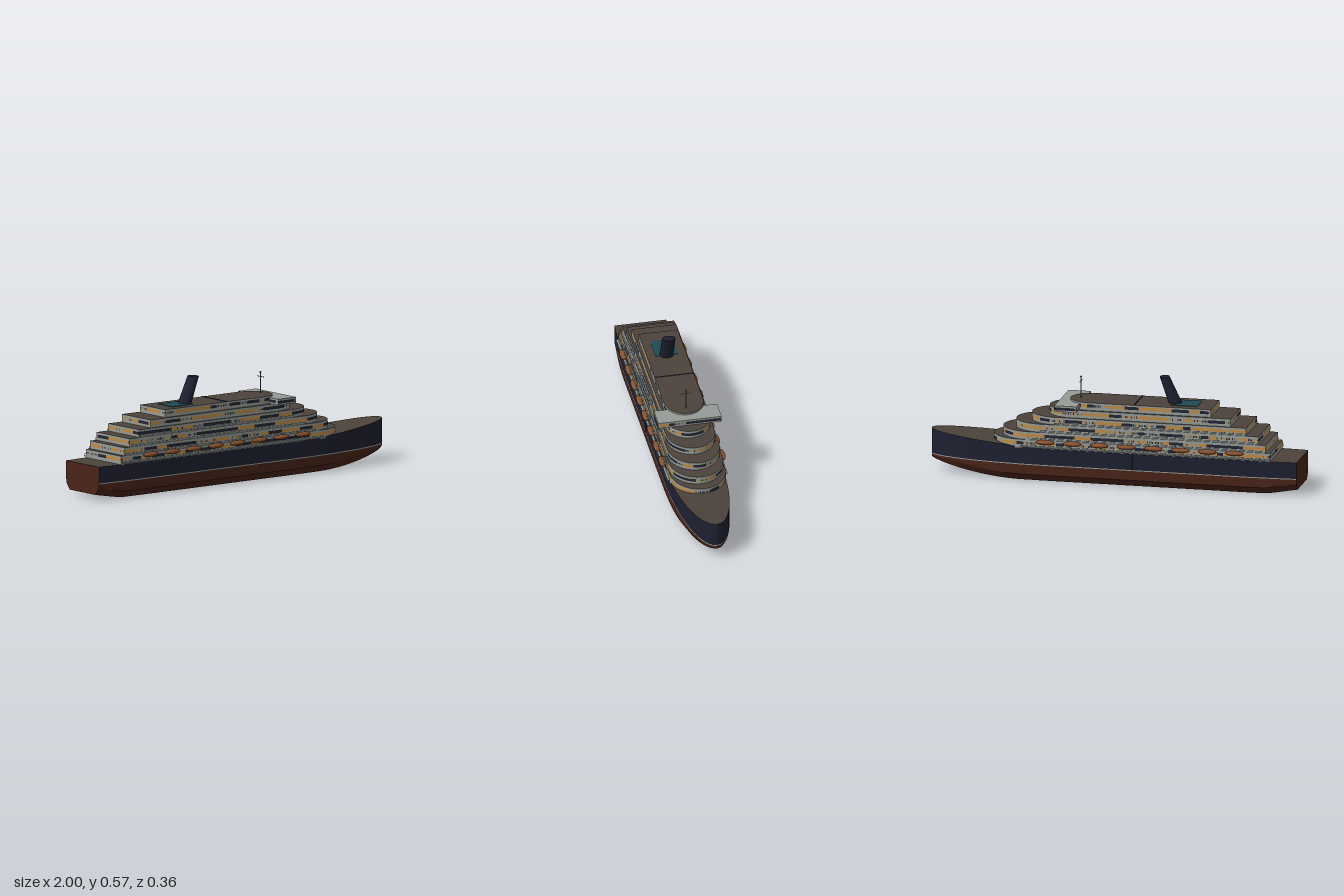
import * as THREE from 'three';
import { mergeGeometries } from 'three/addons/utils/BufferGeometryUtils.js';

const mat = (name, color, side = THREE.FrontSide) => {
  const m = new THREE.MeshStandardMaterial({ color, side });
  m.name = name;
  return m;
};

export function createModel() {
  const M = {
    navy: mat('navy hull', 0x1e2030),
    red: mat('bottom paint', 0x4a2419),
    white: mat('pale superstructure', 0x969c97),
    deck: mat('deck planking', 0x4c423b),
    amber: mat('lit window', 0xc08a42, THREE.DoubleSide),
    dark: mat('dark window', 0x222632, THREE.DoubleSide),
    boat: mat('lifeboat orange', 0x8a5230),
    teal: mat('pool teal', 0x1f4a52),
    metal: mat('mast metal', 0x6a6c6c),
  };
  const ship = new THREE.Group();
  ship.name = 'ship';
  const add = (name, geo, material, parent = ship) => {
    const mesh = new THREE.Mesh(geo, material);
    mesh.name = name;
    parent.add(mesh);
    return mesh;
  };
  const box = (name, m, sx, sy, sz, x, y, z) =>
    add(name, new THREE.BoxGeometry(sx, sy, sz).translate(x, y, z), m);

  // Seeded generator for the window pattern
  let seed = 7;
  const rand = () => (seed = (seed * 16807) % 2147483647) / 2147483647;

  // Hull lines along the length
  const clamp = (v) => Math.min(1, Math.max(0, v));
  const width = (x) => x < 0
    ? 0.152 - 0.013 * clamp((-0.7 - x) / 0.3) ** 1.5
    : 0.152 * Math.sqrt(1 - clamp((x - 0.3) / 0.7) ** 2.2);
  const sheer = (x) => 0.18 + 0.045 * clamp((x - 0.35) / 0.65) ** 1.3;
  const keel = (x) => x < 0 ? 0.028 * clamp((-0.84 - x) / 0.16) : 0.072 * clamp((x - 0.5) / 0.5) ** 1.8;
  const bilge = (x) => Math.min(0.078, keel(x) + 0.036);
  // Half section as [y, z] from keel to deck edge
  const section = [
    (x) => [keel(x), width(x) * 0.79],
    (x) => [bilge(x), width(x) * 0.985],
    (x) => [0.088, width(x)],
    (x) => [0.093, width(x)],
    (x) => [sheer(x), width(x)],
  ];
  const mirror = (f) => (x) => { const [y, z] = f(x); return [y, -z]; };
  const stations = [];
  for (let i = 0; i <= 64; i++) stations.push(-1 + 2 * (1 - (1 - i / 64) ** 1.4));
  // Longitudinal strip between two hull lines
  const strip = (a, b) => {
    const pos = [], idx = [];
    stations.forEach((x, i) => {
      pos.push(x, ...a(x), x, ...b(x));
      if (i) { const k = 2 * i; idx.push(k - 2, k, k + 1, k - 2, k + 1, k - 1); }
    });
    const g = new THREE.BufferGeometry();
    g.setAttribute('position', new THREE.Float32BufferAttribute(pos, 3));
    g.setIndex(idx);
    g.computeVertexNormals();
    return g;
  };
  const sides = (i) => mergeGeometries([
    strip(section[i], section[i + 1]),
    strip(mirror(section[i + 1]), mirror(section[i])),
  ]);
  add('hullBottom', strip(mirror(section[0]), section[0]), M.red);
  add('hullBilge', sides(0), M.red);
  add('hullLowerSides', sides(1), M.red);
  add('waterlineStripe', sides(2), M.white);
  add('hullUpperSides', sides(3), M.navy);
  add('mainDeck', strip(section[4], mirror(section[4])), M.deck);
  const half = section.map((f) => f(-1));
  const transom = new THREE.Shape([
    ...half.map(([y, z]) => new THREE.Vector2(z, y)),
    ...half.slice().reverse().map(([y, z]) => new THREE.Vector2(-z, y)),
  ]);
  add('transom', new THREE.ShapeGeometry(transom).rotateY(-Math.PI / 2).translate(-1, 0, 0), M.red);

  // Deck plan: square stern end, rounded front (rx = 0 gives a rectangle)
  const plan = (x0, x1, w, rx) => {
    const s = new THREE.Shape();
    s.moveTo(x0, -w);
    s.lineTo(x1 - rx, -w);
    if (rx) s.absellipse(x1 - rx, 0, rx, w, -Math.PI / 2, Math.PI / 2, false);
    else s.lineTo(x1, w);
    s.lineTo(x0, w);
    s.closePath();
    return s;
  };
  const block = (s, y0, y1) =>
    new THREE.ExtrudeGeometry(s, { depth: y1 - y0, bevelEnabled: false, curveSegments: 20 })
      .rotateX(-Math.PI / 2).translate(0, y0, 0);

  // Row of windows wrapped around a plan, in runs of lit, dark and small panes
  const windows = (name, s, y0, y1) => {
    const pts = s.getSpacedPoints(Math.round(s.getLength() / 0.0085));
    const out = { amber: [], dark: [] };
    const pane = (list, p, q, lo, hi, cut) => {
      const a = p.clone().lerp(q, cut), b = p.clone().lerp(q, 1 - cut);
      list.push(a.x, lo, -a.y, b.x, lo, -b.y, b.x, hi, -b.y, a.x, lo, -a.y, b.x, hi, -b.y, a.x, hi, -a.y);
    };
    let run = 0, kind = 0;
    for (let i = 0; i + 1 < pts.length; i++) {
      if (run-- <= 0) { run = 3 + Math.floor(rand() * 8); kind = rand(); }
      if (kind < 0.4) pane(out.amber, pts[i], pts[i + 1], y0, y1, 0);
      else if (kind < 0.72) pane(out.dark, pts[i], pts[i + 1], y0, y1, 0);
      else pane(rand() < 0.5 ? out.dark : out.amber, pts[i], pts[i + 1], y0 + 0.002, y1 - 0.003, 0.2);
    }
    for (const key of ['amber', 'dark']) {
      const g = new THREE.BufferGeometry();
      g.setAttribute('position', new THREE.Float32BufferAttribute(out[key], 3));
      g.computeVertexNormals();
      add(name + (key === 'amber' ? 'Lit' : 'Dark'), g, M[key]);
    }
  };

  // Stepped passenger decks: [stern x, front x, half width, bottom y, top y, window y]
  const tiers = [
    [-0.86, 0.66, 0.148, 0.178, 0.225, 0.206],
    [-0.835, 0.61, 0.145, 0.225, 0.267, 0.247],
    [-0.795, 0.54, 0.139, 0.267, 0.31, 0.29],
    [-0.725, 0.455, 0.13, 0.31, 0.35, 0.331],
    [-0.64, 0.36, 0.12, 0.35, 0.392, 0.372],
    [-0.53, 0.25, 0.105, 0.392, 0.433, 0.416],
  ];
  tiers.forEach(([x0, x1, w, y0, y1, yw], i) => {
    const rx = w * 1.15, e = 0.0012;
    add('passengerDeck' + (i + 1), block(plan(x0, x1, w, rx), y0, y1), [M.deck, M.white]);
    windows('windows' + (i + 1), plan(x0 - e, x1 + e, w + e, rx), yw - 0.008, yw + 0.008);
    // Side walkways and their rails
    if (i < 4) {
      const len = x1 - rx - x0, cx = x0 + len / 2, zo = w + (i ? 0.008 : 0.013), yb = i ? y0 : 0.186;
      for (const s of [1, -1]) {
        box('walkway', M.white, len, 0.003, zo - w + 0.01, cx, yb, s * (zo + w - 0.01) / 2);
        box('walkwayRail', M.white, len, 0.0015, 0.0015, cx, yb + 0.011, s * zo);
        for (let k = 0; k <= 24; k++)
          box('railPost', M.white, 0.0015, 0.011, 0.0015, x0 + len * k / 24, yb + 0.006, s * zo);
      }
    }
  });

  // Bridge with wings
  add('bridge', block(plan(0.18, 0.3, 0.17, 0), 0.392, 0.424), M.white);
  windows('bridgeWindows', plan(0.179, 0.301, 0.171, 0), 0.4, 0.415);

  // Pool and expansion seams
  box('pool', M.teal, 0.14, 0.003, 0.12, -0.376, 0.434, 0);
  box('deckSeam', M.dark, 0.006, 0.003, 0.206, -0.115, 0.434, 0);
  for (const s of [1, -1]) box('hullSeam', M.dark, 0.004, 0.087, 0.002, -0.115, 0.136, s * 0.152);

  // Raked funnel: upright tube sheared forward, narrowing lengthwise
  const funnel = new THREE.CylinderGeometry(0.036, 0.036, 0.14, 24, 1);
  const p = funnel.attributes.position;
  for (let i = 0; i < p.count; i++) {
    const t = p.getY(i) / 0.14 + 0.5;
    p.setX(i, p.getX(i) * (1 - 0.3 * t) - 0.315 + 0.058 * t);
  }
  funnel.translate(0, 0.502, 0).computeVertexNormals();
  add('funnel', funnel, M.navy);

  // Mast
  add('mast', new THREE.CylinderGeometry(0.0022, 0.003, 0.115, 8).translate(0.195, 0.49, 0), M.metal);
  add('mastYard', new THREE.CylinderGeometry(0.0018, 0.0018, 0.056, 8).rotateX(Math.PI / 2).translate(0.195, 0.522, 0), M.metal);
  add('mastLamp', new THREE.SphereGeometry(0.005, 10, 8).translate(0.195, 0.546, 0), M.metal);

  // Lifeboats along both sides
  const boatGeo = new THREE.SphereGeometry(1, 16, 10).scale(0.05, 0.013, 0.016);
  for (const s of [1, -1])
    for (let i = 0; i < 8; i++) {
      const x = -0.67 + i * 0.146;
      add('lifeboat', boatGeo, M.boat).position.set(x, 0.218, s * 0.162);
      for (const d of [-0.025, 0.025]) box('davit', M.metal, 0.003, 0.003, 0.014, x + d, 0.23, s * 0.151);
    }
  return ship;
}
